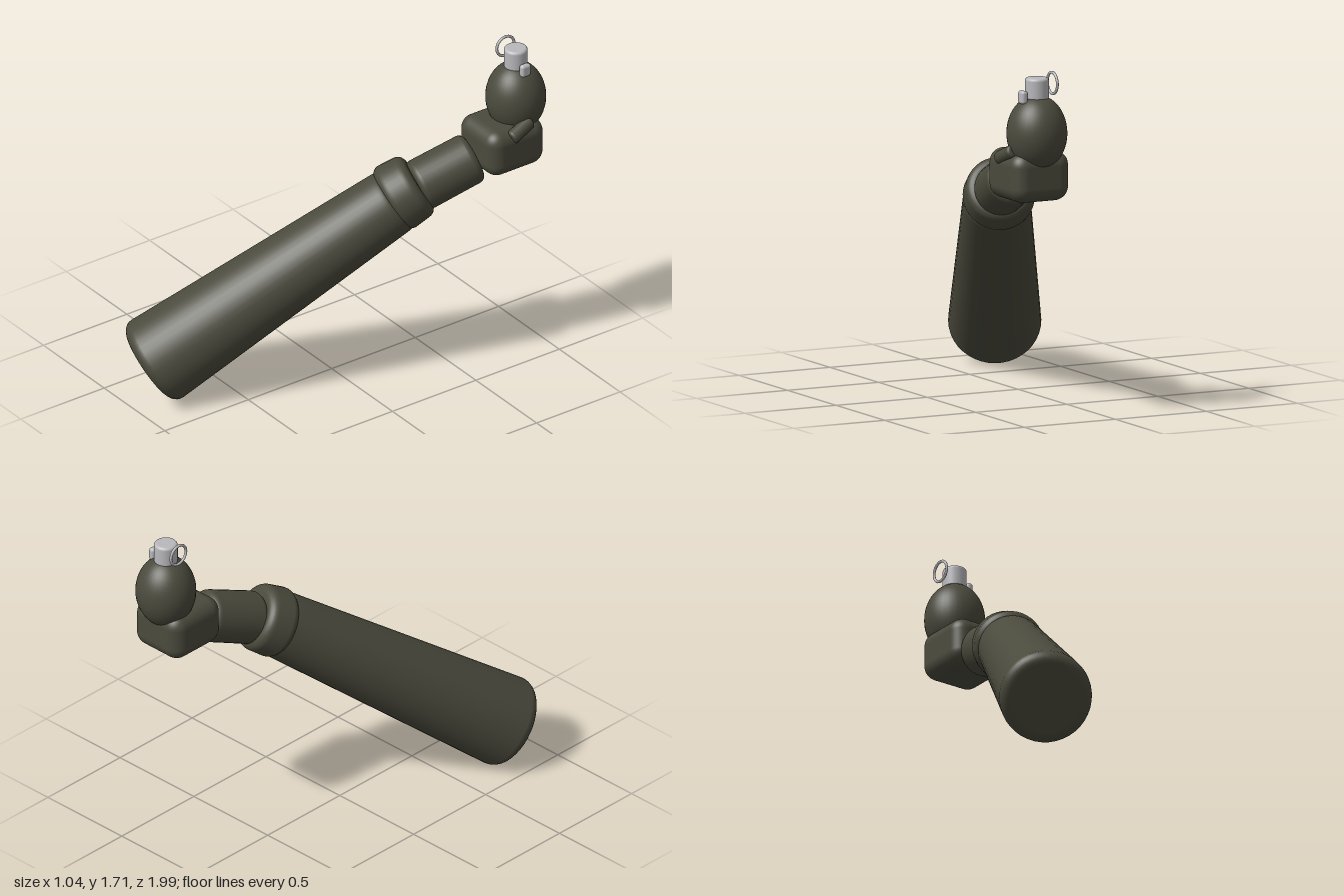
import * as THREE from 'three';
import { RoundedBoxGeometry } from 'three/addons/geometries/RoundedBoxGeometry.js';

const olive = new THREE.MeshStandardMaterial({ color: 0x4a4a3d });
olive.name = 'olive';
const steel = new THREE.MeshStandardMaterial({ color: 0xb9b9bd });
steel.name = 'steel';

const UP = new THREE.Vector3(0, 1, 0);

// Tapered cylinder between two points with rounded rims
function limb(name, from, to, r0, r1, bevel, material, sides = 32) {
  const a = new THREE.Vector3(...from);
  const dir = new THREE.Vector3(...to).sub(a);
  const length = dir.length();
  const steps = 6;
  const points = [new THREE.Vector2(0, 0)];
  for (let i = 0; i <= steps; i++) {
    const t = (i / steps) * Math.PI / 2;
    points.push(new THREE.Vector2(r0 - bevel + bevel * Math.sin(t), bevel - bevel * Math.cos(t)));
  }
  for (let i = 0; i <= steps; i++) {
    const t = (i / steps) * Math.PI / 2;
    points.push(new THREE.Vector2(r1 - bevel + bevel * Math.cos(t), length - bevel + bevel * Math.sin(t)));
  }
  points.push(new THREE.Vector2(0, length));
  const mesh = new THREE.Mesh(new THREE.LatheGeometry(points, sides), material);
  mesh.name = name;
  mesh.position.copy(a);
  mesh.quaternion.setFromUnitVectors(UP, dir.normalize());
  return mesh;
}

function add(parent, name, geometry, material, x, y, z) {
  const mesh = new THREE.Mesh(geometry, material);
  mesh.name = name;
  mesh.position.set(x, y, z);
  parent.add(mesh);
  return mesh;
}

export function createModel() {
  const model = new THREE.Group();
  model.name = 'armWithGrenade';

  // Sleeve, cuff and wrist
  model.add(limb('sleeve', [-0.33, 0.17, 0.86], [0.24, 1.01, -0.23], 0.226, 0.165, 0.055, olive, 40));
  model.add(limb('cuff', [0.212, 0.985, -0.19], [0.27, 1.07, -0.325], 0.175, 0.168, 0.045, olive, 40));
  model.add(limb('wrist', [0.27, 1.05, -0.31], [0.347, 1.16, -0.6], 0.13, 0.128, 0.035, olive));

  // Closed hand with its thumb
  const hand = new THREE.Group();
  hand.name = 'hand';
  add(hand, 'fist', new RoundedBoxGeometry(0.31, 0.245, 0.33, 5, 0.07), olive, 0.35, 1.205, -0.765);
  hand.add(limb('thumb', [0.488, 1.285, -0.72], [0.475, 1.338, -0.845], 0.036, 0.034, 0.015, olive, 16));
  model.add(hand);

  // Grenade held upright in the hand
  const grenade = new THREE.Group();
  grenade.name = 'grenade';
  const body = add(grenade, 'grenadeBody', new THREE.SphereGeometry(0.148, 36, 24), olive, 0.35, 1.417, -0.848);
  body.scale.y = 1.26;
  grenade.add(limb('fuseCap', [0.35, 1.58, -0.848], [0.35, 1.69, -0.848], 0.058, 0.058, 0.015, steel));
  const ring = add(grenade, 'pullRing', new THREE.TorusGeometry(0.052, 0.007, 10, 32), steel, 0.265, 1.656, -0.848);
  ring.rotation.y = Math.PI / 2;
  add(grenade, 'lever', new RoundedBoxGeometry(0.034, 0.065, 0.055, 4, 0.014), steel, 0.427, 1.598, -0.848);
  model.add(grenade);

  return model;
}
